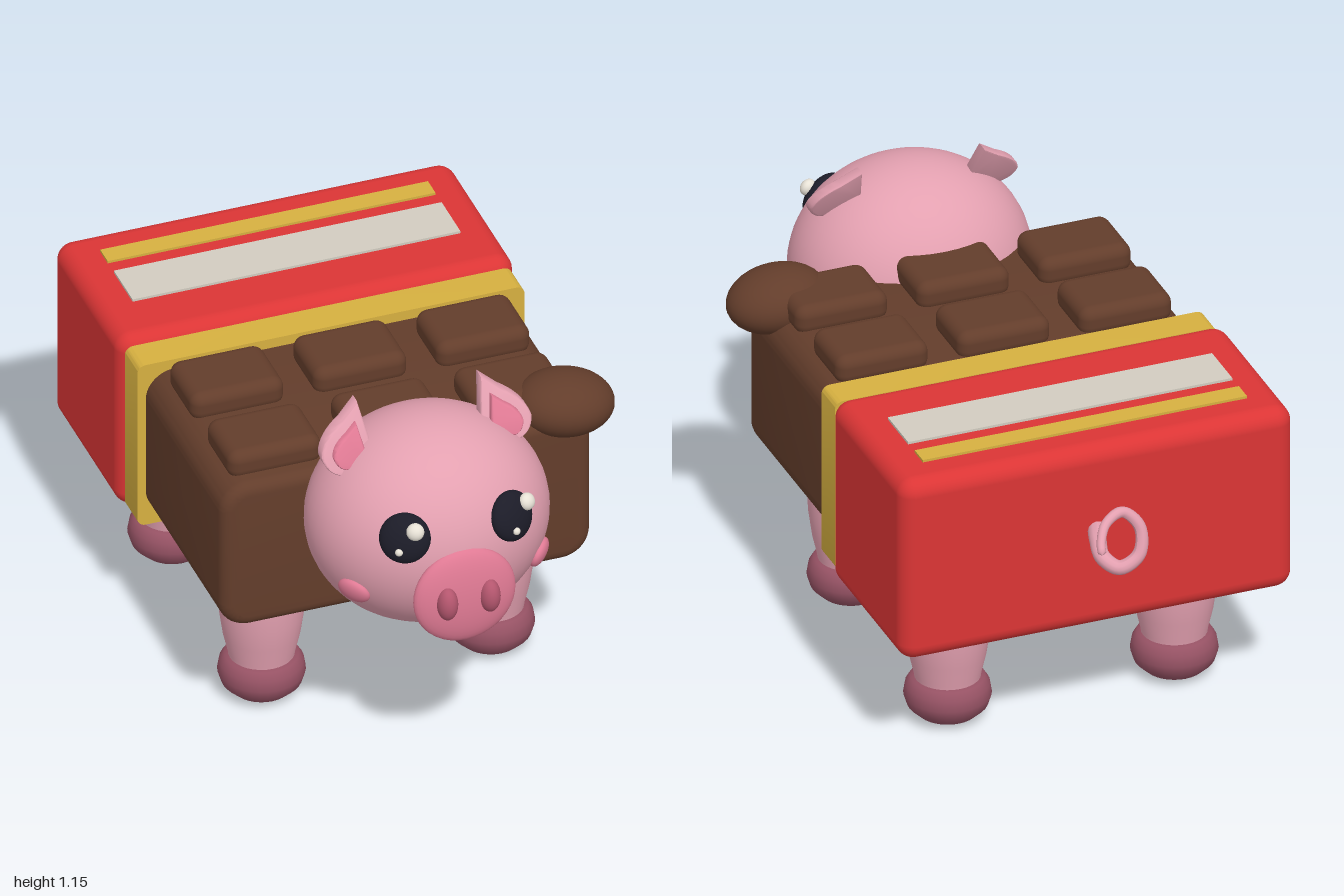
import * as THREE from 'three';
import { toCreasedNormals } from 'three/addons/utils/BufferGeometryUtils.js';
import { RoundedBoxGeometry } from 'three/addons/geometries/RoundedBoxGeometry.js';

const mat = (name, color) => new THREE.MeshStandardMaterial({ name, color });
const M = {
  pink: mat('pink skin', 0xe3a0b0),
  rose: mat('rose', 0xe07a94),
  nostril: mat('dark rose', 0xb4566e),
  hoof: mat('hoof', 0x965264),
  choc: mat('chocolate', 0x633d2b),
  red: mat('red wrapper', 0xdb3535),
  gold: mat('gold', 0xd6b040),
  silver: mat('silver', 0xd2ccc0),
  dark: mat('eye black', 0x1c1c28),
  white: mat('eye shine', 0xf4eee2),
};

const HEAD = new THREE.Vector3(0, 0.785, 0.63);
const HEAD_R = new THREE.Vector3(0.345, 0.31, 0.305);

export function createModel() {
  const model = new THREE.Group();
  model.name = 'chocolatePig';
  const pig = new THREE.Group();
  pig.name = 'pig';
  pig.position.x = -0.025;
  model.add(pig);

  function add(name, geo, material, x = 0, y = 0, z = 0) {
    const mesh = new THREE.Mesh(geo, material);
    mesh.name = name;
    mesh.position.set(x, y, z);
    pig.add(mesh);
    return mesh;
  }
  function ellipsoid(name, material, rx, ry, rz, x, y, z) {
    return add(name, new THREE.SphereGeometry(1, 32, 20).scale(rx, ry, rz), material, x, y, z);
  }
  // flattened ellipsoid laid on the head surface, facing outwards
  function onHead(name, material, rx, ry, rz, x, y, lift = 0) {
    const u = x / HEAD_R.x, v = (y - HEAD.y) / HEAD_R.y;
    const w = Math.sqrt(1 - u * u - v * v);
    const n = new THREE.Vector3(u / HEAD_R.x, v / HEAD_R.y, w / HEAD_R.z).normalize();
    const p = new THREE.Vector3(x, y, HEAD.z + w * HEAD_R.z).addScaledVector(n, lift);
    const mesh = ellipsoid(name, material, rx, ry, rz, p.x, p.y, p.z);
    mesh.lookAt(p.add(n));
  }
  // rounded rectangle extruded along z, optionally with a rounded rim
  function prism(w, h, d, r, bevel) {
    const a = w / 2 - bevel, b = h / 2 - bevel, k = r - bevel;
    const s = new THREE.Shape();
    s.absarc(a - k, b - k, k, 0, Math.PI / 2);
    s.absarc(k - a, b - k, k, Math.PI / 2, Math.PI);
    s.absarc(k - a, k - b, k, Math.PI, Math.PI * 1.5);
    s.absarc(a - k, k - b, k, Math.PI * 1.5, Math.PI * 2);
    s.closePath();
    const g = new THREE.ExtrudeGeometry(s, {
      depth: d - 2 * bevel, curveSegments: 8, bevelEnabled: bevel > 0,
      bevelSize: bevel, bevelThickness: bevel, bevelSegments: 5,
    });
    return toCreasedNormals(g.translate(0, 0, bevel - d / 2), 0.7);
  }

  // chocolate bar body, gold foil band and red wrapper
  add('chocolateBody', prism(1.09, 0.475, 0.68, 0.085, 0.035), M.choc, 0, 0.6375, 0.135);
  add('foilBand', prism(1.14, 0.535, 0.1, 0.025, 0), M.gold, 0, 0.6375, -0.186);
  add('wrapper', new RoundedBoxGeometry(1.17, 0.57, 0.54, 5, 0.05), M.red, 0, 0.64, -0.506);
  add('silverStripe', new THREE.BoxGeometry(0.965, 0.009, 0.15), M.silver, 0, 0.928, -0.486);
  add('goldStripe', new THREE.BoxGeometry(0.965, 0.009, 0.06), M.gold, 0, 0.928, -0.64);

  // chocolate squares
  for (const x of [-0.3625, 0, 0.3625])
    for (const z of [0.015, 0.315])
      add('chocolateSquare', new RoundedBoxGeometry(0.275, 0.09, 0.21, 4, 0.034), M.choc, x, 0.9, z);

  // melted drop on one front corner
  const drop = ellipsoid('chocolateDrop', M.choc, 0.145, 0.09, 0.12, 0.4875, 0.885, 0.402);
  drop.rotation.z = -0.12;

  // legs and hooves
  const lathe = (pts) => new THREE.LatheGeometry(pts.map(([x, y]) => new THREE.Vector2(x, y)), 32);
  const legGeo = lathe([[0.09, 0.1], [0.094, 0.14], [0.108, 0.2], [0.118, 0.27],
    [0.122, 0.34], [0.122, 0.42], [0, 0.43]]);
  const hoofGeo = lathe([[0, 0], [0.045, 0.003], [0.085, 0.016], [0.113, 0.043],
    [0.123, 0.075], [0.118, 0.105], [0.104, 0.127], [0.085, 0.132], [0, 0.132]]);
  for (const x of [-0.3375, 0.3375])
    for (const z of [0.225, -0.492]) {
      const end = z > 0 ? 'front' : 'hind';
      add(end + 'Leg', legGeo, M.pink, x, 0, z);
      add(end + 'Hoof', hoofGeo, M.hoof, x, 0, z);
    }

  // head, snout and mouth
  add('head', new THREE.SphereGeometry(1, 48, 32).scale(HEAD_R.x, HEAD_R.y, HEAD_R.z), M.pink, ...HEAD.toArray());
  add('snout', new THREE.SphereGeometry(1, 40, 20).rotateX(Math.PI / 2).scale(0.15, 0.147, 0.042),
    M.rose, 0, 0.698, 0.93).rotation.x = -0.05;
  ellipsoid('mouth', M.dark, 0.055, 0.028, 0.045, 0, 0.57, 0.885);

  // nostrils, cheeks, eyes and ears
  for (const s of [-1, 1]) {
    ellipsoid('nostril', M.nostril, 0.03, 0.051, 0.035, s * 0.0625, 0.7, 0.963);
    onHead('cheek', M.rose, 0.05, 0.042, 0.022, s * 0.272, 0.682);
    onHead('eye', M.dark, 0.072, 0.072, 0.036, s * 0.157, 0.89);
    onHead('eyeShine', M.white, 0.025, 0.025, 0.02, s * 0.157 + 0.03, 0.912, 0.033);
    onHead('smallEyeShine', M.white, 0.011, 0.011, 0.01, s * 0.157 - 0.014, 0.86, 0.033);
    add('ear', earGeometry(s, 1, 0.026, 0), M.pink);
    add('innerEar', earGeometry(s, 0.6, 0.014, 0.03), M.rose);
  }

  add('tail', tailGeometry(), M.pink);
  return model;
}

// leaf-shaped ear plate, sheared so that it leans back as it rises
function earGeometry(side, scale, depth, forward) {
  const X = (x) => side * (0.228 + (x - 0.228) * scale);
  const Y = (y) => 1.035 + (y - 1.035) * scale;
  const s = new THREE.Shape();
  s.moveTo(X(0.262), Y(0.985));
  s.quadraticCurveTo(X(0.298), Y(0.995), X(0.303), Y(1.03));
  s.quadraticCurveTo(X(0.295), Y(1.07), X(0.23), Y(1.105));
  s.lineTo(X(0.184), Y(1.142));
  s.lineTo(X(0.168), Y(1.045));
  s.quadraticCurveTo(X(0.17), Y(0.99), X(0.262), Y(0.985));
  const g = new THREE.ExtrudeGeometry(s, {
    depth, bevelEnabled: true, bevelSize: 0.006, bevelThickness: 0.008, bevelSegments: 3, curveSegments: 8,
  });
  const p = g.attributes.position;
  for (let i = 0; i < p.count; i++)
    p.setZ(i, p.getZ(i) + 0.625 + forward - 0.55 * (p.getY(i) - 0.985));
  return toCreasedNormals(g, 0.7);
}

// curly tail: a tube that narrows towards its tip, closed by a pinched last ring
function tailGeometry() {
  const path = new THREE.CatmullRomCurve3([
    [0, 0.67, -0.755], [0.025, 0.662, -0.83], [0.035, 0.645, -0.89], [0, 0.625, -0.928],
    [-0.055, 0.66, -0.935], [-0.065, 0.735, -0.915], [-0.02, 0.783, -0.9],
    [0.04, 0.77, -0.925], [0.07, 0.735, -0.965], [0.077, 0.713, -0.993],
  ].map((p) => new THREE.Vector3(...p)));
  const rings = 64, sides = 12;
  const g = new THREE.TubeGeometry(path, rings, 0.026, sides);
  const p = g.attributes.position, v = new THREE.Vector3();
  for (let i = 0; i < p.count; i++) {
    const ring = Math.floor(i / (sides + 1)), c = path.getPointAt(ring / rings);
    const k = ring === rings ? 0.001 : 1 - 0.55 * ring / rings;
    v.fromBufferAttribute(p, i).sub(c).multiplyScalar(k).add(c);
    p.setXYZ(i, v.x, v.y, v.z);
  }
  g.computeVertexNormals();
  return g;
}
